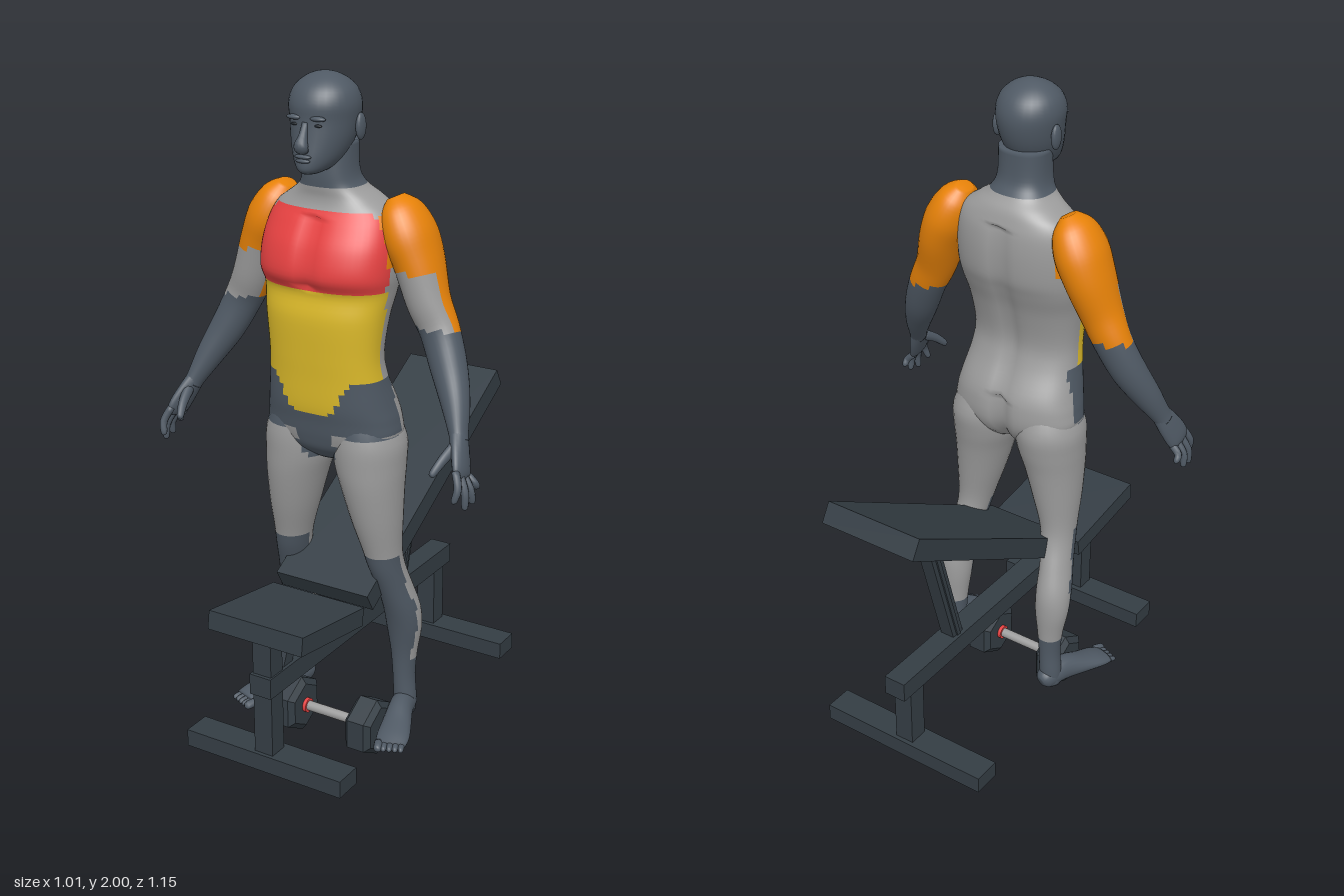
import * as THREE from 'three';

const mat = (name, color, extra = {}) => Object.assign(new THREE.MeshStandardMaterial({ color, ...extra }), { name });
const slate = mat('slate skin', 0x4f5964);
const grey = mat('grey muscle', 0x9c9c9c);
const red = mat('red chest', 0xef4444);
const yellow = mat('yellow abdomen', 0xdcba2a);
const orange = mat('orange shoulder', 0xee8609);
const steel = mat('bench dark', 0x343d44);
const ink = mat('eye dark', 0x22282e);

// Catmull-Rom refinement of key rings
function refine(keys, sub) {
  const out = [];
  const at = i => keys[Math.max(0, Math.min(keys.length - 1, i))];
  for (let i = 0; i < keys.length - 1; i++) {
    for (let j = 0; j < sub; j++) {
      const t = j / sub;
      out.push(keys[i].map((b, k) => {
        const a = at(i - 1)[k], c = at(i + 1)[k], d = at(i + 2)[k];
        return 0.5 * (2 * b + (c - a) * t + (2 * a - 5 * b + 4 * c - d) * t * t + (3 * b - a - 3 * c + d) * t * t * t);
      }));
    }
  }
  out.push(keys[keys.length - 1]);
  return out;
}

// Skins elliptical rings [x, y, z, a, b]; pick(point) chooses the material of each face
function loft(name, keys, pick, { n = 24, sub = 4, level = false, power = 1, shape = null } = {}) {
  const rings = refine(keys, sub), pts = [];
  const bend = v => Math.sign(v) * Math.abs(v) ** power;
  const centre = r => new THREE.Vector3(r[0], r[1], r[2]);
  rings.forEach((r, i) => {
    const t = level ? new THREE.Vector3(0, 1, 0)
      : centre(rings[Math.min(i + 1, rings.length - 1)]).sub(centre(rings[Math.max(i - 1, 0)])).normalize();
    const u = new THREE.Vector3(1, 0, 0).addScaledVector(t, -t.x).normalize();
    const v = t.clone().cross(u);
    for (let k = 0; k < n; k++) {
      const q = (k / n) * Math.PI * 2;
      const p = centre(r).addScaledVector(u, r[3] * bend(Math.cos(q))).addScaledVector(v, r[4] * bend(Math.sin(q)));
      if (shape) shape(p);
      pts.push(p);
    }
  });
  const last = rings.length - 1, c0 = pts.length;
  pts.push(centre(rings[0]), centre(rings[last]));
  const buckets = new Map();
  const face = (m, ...ids) => buckets.set(m, (buckets.get(m) || []).concat(ids));
  for (let k = 0; k < n; k++) {
    const k1 = (k + 1) % n;
    for (let i = 0; i < last; i++) {
      const a = i * n + k, b = i * n + k1, c = a + n, d = b + n;
      const mid = pts[a].clone().add(pts[b]).add(pts[c]).add(pts[d]).multiplyScalar(0.25);
      face(pick(mid), a, b, c, b, d, c);
    }
    face(pick(pts[c0]), c0, k1, k);
    face(pick(pts[c0 + 1]), c0 + 1, last * n + k, last * n + k1);
  }
  const geo = new THREE.BufferGeometry().setFromPoints(pts);
  const index = [], mats = [...buckets.keys()];
  mats.forEach((m, i) => {
    geo.addGroup(index.length, buckets.get(m).length, i);
    index.push(...buckets.get(m));
  });
  geo.setIndex(index);
  geo.computeVertexNormals();
  const mesh = new THREE.Mesh(geo, mats);
  mesh.name = name;
  return mesh;
}

// Level slice given by half width, front z and back z
const slice = (y, hw, front, back, x = 0) => [x, y, (front + back) / 2, hw, (front - back) / 2];
const plain = () => slate;

function blob(name, m, x, y, z, sx, sy, sz) {
  const mesh = new THREE.Mesh(new THREE.SphereGeometry(1, 16, 10), m);
  mesh.name = name;
  mesh.position.set(x, y, z);
  mesh.scale.set(sx, sy, sz);
  return mesh;
}

function torsoColour({ x, y, z }) {
  const w = Math.abs(x);
  if (y > 1.7) return slate;
  if (y > 1.43) {
    if (y < 1.64 && z > 0.2 && w < 0.2) return red;
    return w > 0.165 && y > 1.5 ? orange : grey;
  }
  if (z > 0.19 && (y > 1.18 || (y > 1.08 && w < 0.06 + (y - 1.08) * 0.6))) return yellow;
  if (z > 0.14 && y < 1.18 && (y > 1.02 || w < 0.06)) return slate;
  return grey;
}

function makeTorso() {
  const keys = [
    slice(0.925, 0.06, 0.21, 0.08), slice(0.96, 0.14, 0.25, 0.05), slice(1.0, 0.2, 0.265, 0.033),
    slice(1.05, 0.2, 0.275, 0.03), slice(1.1, 0.19, 0.285, 0.04), slice(1.18, 0.175, 0.29, 0.08),
    slice(1.25, 0.17, 0.295, 0.095), slice(1.35, 0.18, 0.3, 0.075), slice(1.42, 0.192, 0.29, 0.05),
    slice(1.47, 0.2, 0.312, 0.033), slice(1.54, 0.2, 0.297, 0.027), slice(1.6, 0.19, 0.265, 0.03),
    slice(1.64, 0.17, 0.24, 0.04), slice(1.67, 0.13, 0.232, 0.052), slice(1.7, 0.09, 0.235, 0.075),
    slice(1.74, 0.075, 0.236, 0.095), slice(1.82, 0.073, 0.23, 0.1)];
  // Grooves along the spine, between the buttocks and between the chest muscles
  const shape = p => {
    const g = Math.exp(-((p.x / 0.025) ** 2));
    if (p.z < 0.13 && p.y < 1.62) p.z += g * (p.y < 1.08 ? 0.03 : 0.015);
    else if (p.z > 0.2 && p.y > 1.44 && p.y < 1.62) p.z -= g * 0.014;
  };
  return loft('torso', keys, torsoColour, { n: 56, sub: 5, level: true, power: 0.84, shape });
}

function makeHead() {
  const g = new THREE.Group();
  g.name = 'head';
  g.add(loft('skull', [
    slice(1.745, 0.022, 0.295, 0.23), slice(1.757, 0.042, 0.306, 0.18), slice(1.785, 0.064, 0.305, 0.135),
    slice(1.83, 0.082, 0.298, 0.105), slice(1.88, 0.092, 0.292, 0.09), slice(1.92, 0.096, 0.292, 0.09),
    slice(1.955, 0.086, 0.277, 0.105), slice(1.98, 0.062, 0.25, 0.132), slice(1.995, 0.032, 0.218, 0.163),
    slice(2.0, 0.005, 0.195, 0.185)], plain, { n: 32, level: true }));
  g.add(loft('nose', [[0, 1.878, 0.288, 0.009, 0.008], [0, 1.845, 0.3, 0.012, 0.013],
    [0, 1.82, 0.311, 0.02, 0.018], [0, 1.806, 0.3, 0.016, 0.01]], plain, { n: 14 }));
  g.add(blob('upperLip', slate, 0, 1.792, 0.302, 0.026, 0.006, 0.009));
  g.add(blob('lowerLip', slate, 0, 1.781, 0.302, 0.022, 0.006, 0.009));
  for (const s of [-1, 1]) {
    g.add(blob('ear', slate, s * 0.095, 1.86, 0.17, 0.011, 0.036, 0.021));
    g.add(blob('brow', slate, s * 0.036, 1.89, 0.285, 0.024, 0.007, 0.011));
    g.add(blob('eye', ink, s * 0.035, 1.872, 0.284, 0.013, 0.004, 0.005));
  }
  return g;
}

function makeArm(s) {
  const g = new THREE.Group();
  g.name = s > 0 ? 'leftArm' : 'rightArm';
  const side = keys => keys.map(([x, ...r]) => [s * x, ...r]);
  const colour = ({ y, z }) => y < 1.34 ? slate : y > 1.49 || z < 0.15 ? orange : grey;
  g.add(loft('arm', side([
    [0.172, 1.674, 0.12, 0.022, 0.03], [0.188, 1.64, 0.12, 0.054, 0.07], [0.215, 1.58, 0.12, 0.07, 0.09],
    [0.245, 1.51, 0.12, 0.066, 0.085], [0.28, 1.41, 0.13, 0.06, 0.066], [0.318, 1.33, 0.132, 0.056, 0.053],
    [0.36, 1.24, 0.155, 0.051, 0.05], [0.4, 1.16, 0.19, 0.04, 0.042], [0.43, 1.09, 0.225, 0.026, 0.032],
    [0.438, 1.07, 0.235, 0.024, 0.032]]), colour, { n: 32, sub: 5 }));
  g.add(loft('palm', side([[0.43, 1.09, 0.225, 0.024, 0.03], [0.447, 1.05, 0.246, 0.022, 0.04],
    [0.465, 1.005, 0.27, 0.018, 0.044], [0.471, 0.985, 0.277, 0.01, 0.036]]), plain, { n: 18 }));
  const tips = [[0.476, 0.935, 0.328], [0.492, 0.91, 0.298], [0.495, 0.915, 0.263], [0.49, 0.943, 0.228]];
  tips.forEach(([x, y, z], i) => {
    const o = 0.033 - i * 0.022, ky = 1.0 + 0.4 * o, kz = 0.273 + 0.9 * o;
    g.add(loft('finger', side([[0.465, ky, kz, 0.011, 0.011],
      [(0.475 + x) / 2 + 0.006, (ky + y) / 2, (kz + z) / 2 + 0.004, 0.011, 0.011],
      [x, y + 0.006, z, 0.009, 0.009], [x, y, z, 0.003, 0.003]]), plain, { n: 10, sub: 3 }));
  });
  g.add(loft('thumb', side([[0.437, 1.065, 0.25, 0.015, 0.018], [0.424, 1.035, 0.3, 0.013, 0.014],
    [0.412, 1.005, 0.332, 0.01, 0.01], [0.41, 1.0, 0.338, 0.003, 0.003]]), plain, { n: 10, sub: 3 }));
  return g;
}

function makeLeg(s) {
  const g = new THREE.Group();
  g.name = s > 0 ? 'leftLeg' : 'rightLeg';
  const side = keys => keys.map(([x, ...r]) => [s * x, ...r]);
  const colour = ({ x, y, z }) => {
    if (y > 1.02 && z > 0.14) return slate;
    if (y > 0.92 && Math.abs(x) < 0.05 && z > 0.14) return slate;
    if (y > 0.64) return grey;
    return y < 0.27 || z > (y > 0.5 ? 0.11 + (y - 0.5) * 0.2 : 0.085) ? slate : grey;
  };
  g.add(loft('leg', side([
    slice(0.1, 0.032, 0.1, 0.035, 0.185), slice(0.15, 0.034, 0.1, 0.03, 0.184), slice(0.22, 0.033, 0.1, 0.03, 0.18),
    slice(0.3, 0.04, 0.105, 0.025, 0.18), slice(0.38, 0.052, 0.12, 0.018, 0.182), slice(0.45, 0.053, 0.14, 0.022, 0.18),
    slice(0.53, 0.048, 0.168, 0.048, 0.17), slice(0.6, 0.05, 0.195, 0.072, 0.158), slice(0.66, 0.056, 0.21, 0.08, 0.15),
    slice(0.75, 0.072, 0.235, 0.07, 0.138), slice(0.85, 0.088, 0.255, 0.055, 0.125),
    slice(0.92, 0.1, 0.262, 0.04, 0.115), slice(0.99, 0.102, 0.263, 0.033, 0.11),
    slice(1.07, 0.08, 0.25, 0.06, 0.1)]), colour, { n: 32, level: true }));
  g.add(loft('foot', side([[0.174, 0.115, 0.026, 0.016, 0.018], [0.178, 0.12, 0.04, 0.03, 0.034],
    [0.186, 0.126, 0.075, 0.036, 0.04], [0.2, 0.127, 0.12, 0.037, 0.041], [0.222, 0.116, 0.18, 0.044, 0.03],
    [0.242, 0.107, 0.235, 0.049, 0.021], [0.254, 0.101, 0.268, 0.044, 0.013]]), plain, { n: 20 }));
  for (let i = 0; i < 5; i++) {
    const o = -0.034 + i * 0.017, r = i ? 0.009 : 0.013, x = 0.248 + 0.9 * o, z = 0.26 - 0.4 * o;
    g.add(loft('toe', side([[x, 0.102, z, r, r], [x + 0.008, 0.1, z + 0.018, r, r],
      [x + 0.012, 0.097, z + 0.029, r * 0.8, r * 0.8], [x + 0.013, 0.096, z + 0.033, 0.002, 0.002]]), plain, { n: 10, sub: 2 }));
  }
  return g;
}

function makeBench() {
  const g = new THREE.Group();
  g.name = 'bench';
  const box = (name, w, h, d, y, z, tilt = 0, x = 0) => {
    const m = new THREE.Mesh(new THREE.BoxGeometry(w, h, d), steel);
    m.name = name;
    m.position.set(x, y, z);
    m.rotation.x = tilt;
    g.add(m);
  };
  box('seat', 0.31, 0.055, 0.317, 0.508, 0.414, -0.15);
  box('backrest', 0.31, 0.063, 0.9, 0.735, -0.17, 0.524);
  box('mainBeam', 0.07, 0.062, 1.033, 0.356, 0.034);
  box('frontPost', 0.06, 0.37, 0.057, 0.305, 0.512);
  box('rearPost', 0.06, 0.22, 0.06, 0.235, -0.416);
  box('frontFoot', 0.52, 0.052, 0.086, 0.112, 0.509);
  box('rearFoot', 0.56, 0.052, 0.086, 0.112, -0.416);
  box('seatStrut', 0.05, 0.13, 0.04, 0.43, 0.43, -0.4);
  box('backStrut', 0.045, 0.42, 0.045, 0.573, -0.255, -0.28);
  box('strutRib', 0.055, 0.4, 0.014, 0.573, -0.255, -0.28);
  return g;
}

function makeDumbbell() {
  const g = new THREE.Group();
  g.name = 'dumbbell';
  const add = (name, geo, m, x) => {
    const mesh = new THREE.Mesh(geo.rotateZ(Math.PI / 2), m);
    mesh.name = name;
    mesh.position.x = x;
    g.add(mesh);
  };
  const profile = [[0, -0.043], [0.07, -0.043], [0.09, -0.028], [0.09, 0.028], [0.07, 0.043], [0, 0.043]]
    .map(p => new THREE.Vector2(...p));
  for (const s of [-1, 1]) {
    const hex = new THREE.LatheGeometry(profile, 6, Math.PI / 6).toNonIndexed();
    hex.computeVertexNormals();
    add('weight', hex, steel, s * 0.132);
    add('collar', new THREE.CylinderGeometry(0.022, 0.022, 0.012, 20), red, s * 0.084);
  }
  add('handle', new THREE.CylinderGeometry(0.015, 0.015, 0.2, 20), grey, 0);
  g.position.set(0, 0.09, 0.188);
  return g;
}

export function createModel() {
  const model = new THREE.Group();
  model.name = 'athleteWithBench';
  model.add(makeTorso(), makeHead(), makeBench(), makeDumbbell());
  for (const s of [-1, 1]) model.add(makeArm(s), makeLeg(s));
  return model;
}
